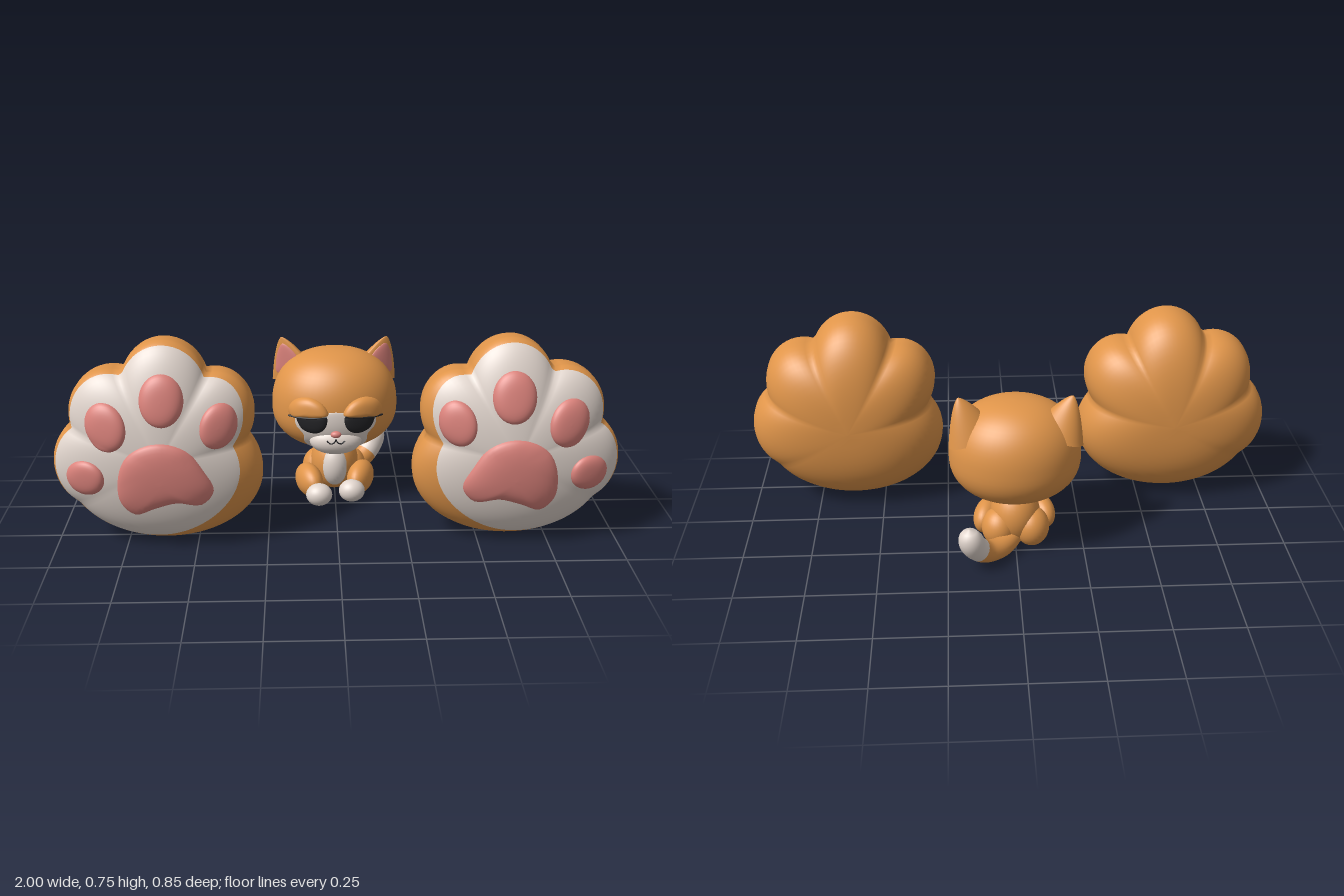
import * as THREE from 'three';

const mat = (name, color) => Object.assign(new THREE.MeshStandardMaterial({ color }), { name });
const orange = mat('orange fur', 0xe0954a);
const white = mat('cream fur', 0xe2d6ce);
const pink = mat('pink skin', 0xdc837c);
const black = mat('black', 0x232326);
const TAU = Math.PI * 2;

function add(parent, name, geometry, material, pos = [0, 0, 0]) {
  const m = new THREE.Mesh(geometry, material);
  m.name = name;
  m.position.set(...pos);
  parent.add(m);
  return m;
}

// Closed rings of points fn(u, row); rows after `split` use the second material
function surface(fn, nu, rows, split = rows) {
  const p = [], idx = [];
  for (let j = 0; j <= rows; j++) for (let i = 0; i < nu; i++) p.push(...fn(i / nu, j));
  for (let j = 0; j < rows; j++) for (let i = 0; i < nu; i++) {
    const a = j * nu + i, b = j * nu + (i + 1) % nu;
    idx.push(a, b, b + nu, a, b + nu, a + nu);
  }
  const g = new THREE.BufferGeometry();
  g.setAttribute('position', new THREE.Float32BufferAttribute(p, 3));
  g.setIndex(idx);
  if (split < rows) {
    g.addGroup(0, split * nu * 6, 0);
    g.addGroup(split * nu * 6, (rows - split) * nu * 6, 1);
  }
  g.computeVertexNormals();
  return g;
}

// Soft cushion with a counter-clockwise outline, laid over the height rule zFn
function cushion(points, zFn, height) {
  const curve = new THREE.CatmullRomCurve3(points.map(([x, y]) => new THREE.Vector3(x, y, 0)), true);
  const c = points.reduce((s, [x, y]) => [s[0] + x / points.length, s[1] + y / points.length], [0, 0]);
  const rows = 10;
  return surface((u, j) => {
    const q = curve.getPoint(u), s = Math.cos(j / rows * Math.PI / 2);
    const x = c[0] + (q.x - c[0]) * s, y = c[1] + (q.y - c[1]) * s;
    return [x, y, zFn(x, y) + height * Math.sqrt(1 - s ** 4)];
  }, 48, rows);
}

function oval(cx, cy, rx, ry, tilt = 0) {
  return Array.from({ length: 12 }, (_, i) => {
    const a = i / 12 * TAU, x = rx * Math.cos(a), y = ry * Math.sin(a);
    return [cx + x * Math.cos(tilt) - y * Math.sin(tilt), cy + x * Math.sin(tilt) + y * Math.cos(tilt)];
  });
}

function ball(parent, name, material, pos, radii, turn = 0) {
  const m = add(parent, name, new THREE.SphereGeometry(1, 32, 20), material, pos);
  m.scale.set(...radii);
  m.rotation.y = turn;
  return m;
}

// Big paw: palm and four toes as ellipses [x, y, rx, ry]
const PX = 0.62, PY = 0.34;
const LOBES = [[0.61, 0.26, 0.345, 0.25], [0.42, 0.48, 0.13, 0.15], [0.6, 0.57, 0.155, 0.175],
  [0.79, 0.48, 0.145, 0.163], [0.87, 0.3, 0.13, 0.16]];

function pawRadius(a) {
  let best = 0;
  for (const [x, y, rx, ry] of LOBES) {
    const dx = Math.cos(a) / rx, dy = Math.sin(a) / ry, ox = (PX - x) / rx, oy = (PY - y) / ry;
    const A = dx * dx + dy * dy, B = dx * ox + dy * oy, D = B * B - A * (ox * ox + oy * oy - 1);
    if (D >= 0) best = Math.max(best, (-B + Math.sqrt(D)) / A);
  }
  return best;
}
const frontDepth = s => 0.27 + 0.14 * Math.sqrt(Math.max(0, 1 - s * s));
const pawZ = (x, y) => frontDepth(Math.hypot(x - PX, y - PY) / pawRadius(Math.atan2(y - PY, x - PX))) - 0.004;

function paw() {
  const g = new THREE.Group();
  const back = 16, lip = 22, rows = 38;
  add(g, 'pawBody', surface((u, j) => {
    const a = u * TAU, R = pawRadius(a);
    // the fur edge comes further forward on the inner lower side
    const edge = Math.acos(0.97 - 0.2 * Math.max(0, Math.cos(a - 3.58)) ** 2);
    let s, z;
    if (j <= back) {
      const t = j / back * Math.PI / 2;
      s = Math.sin(t) ** (2 / 2.6);
      z = 0.27 - 0.23 * Math.max(0, Math.cos(t)) ** (2 / 2.6);
    } else {
      const t = j <= lip ? edge * (j - back) / (lip - back)
        : edge + (Math.PI / 2 - edge) * (j - lip) / (rows - lip);
      s = Math.cos(t);
      z = frontDepth(s);
    }
    return [PX + R * s * Math.cos(a), PY + R * s * Math.sin(a), z];
  }, 120, rows, lip), [orange, white]);
  [[0.41, 0.463, 0.064, 0.082, 0.2], [0.6, 0.56, 0.076, 0.09, 0], [0.795, 0.465, 0.072, 0.086, -0.2],
    [0.877, 0.275, 0.07, 0.066, -0.4]].forEach(o => add(g, 'toePad', cushion(oval(...o), pawZ, 0.024), pink));
  const palm = [[0.6, 0.415], [0.52, 0.385], [0.465, 0.31], [0.432, 0.23], [0.475, 0.175], [0.56, 0.187],
    [0.64, 0.165], [0.71, 0.138], [0.757, 0.185], [0.763, 0.27], [0.735, 0.355], [0.68, 0.4]];
  add(g, 'palmPad', cushion(palm, pawZ, 0.028), pink);
  return g;
}

// Head: rounded form, wider at the cheeks
function headZ(x, y, k = 1) {
  const dy = Math.min(1, Math.abs(y - 0.36) / (k * (y > 0.36 ? 0.215 : 0.17)));
  const r = (1 - dy ** 2.3) ** (1 / 2.3);
  return -0.155 + 0.205 * k * Math.sqrt(Math.max(0, r * r - (x / 0.24 / k) ** 2));
}

function head() {
  const g = new THREE.Group();
  g.name = 'head';
  add(g, 'skull', surface((u, j) => {
    const t = -Math.PI / 2 + j / 32 * Math.PI, d = Math.sin(t);
    const e = Math.sign(d) * Math.abs(d) ** (2 / 2.3), r = Math.max(0, Math.cos(t)) ** (2 / 2.3);
    return [0.24 * r * Math.sin(u * TAU), 0.36 + (e > 0 ? 0.215 : 0.17) * e, -0.155 + 0.205 * r * Math.cos(u * TAU)];
  }, 56, 32), orange);
  const half = [[0.06, 0.207], [0.1, 0.225], [0.118, 0.255], [0.12, 0.29], [0.148, 0.325], [0.15, 0.36], [0.12, 0.385], [0.05, 0.385]];
  const mask = [[0, 0.203], ...half, [0, 0.39], ...half.map(([x, y]) => [-x, y]).reverse()];
  add(g, 'faceMask', cushion(mask, (x, y) => headZ(x, y, 1.012), 0.004), white);
  ball(g, 'muzzle', white, [0, 0.265, 0.008], [0.098, 0.054, 0.055]);
  ball(g, 'nose', pink, [0, 0.305, 0.057], [0.02, 0.013, 0.014]);
  for (const side of [1, -1]) {
    const h = new THREE.Group();
    h.name = side > 0 ? 'leftFace' : 'rightFace';
    h.scale.x = side;
    g.add(h);
    const eye = [[0.035, 0.375], [0.036, 0.335], [0.06, 0.308], [0.095, 0.303], [0.128, 0.318], [0.145, 0.35], [0.147, 0.375], [0.09, 0.385]];
    add(h, 'eye', cushion(eye, (x, y) => headZ(x, y, 1.018), 0.014), black);
    const lid = [[0.028, 0.38], [0.06, 0.37], [0.12, 0.366], [0.17, 0.362], [0.175, 0.39], [0.15, 0.425], [0.1, 0.44], [0.05, 0.42]];
    add(h, 'eyelid', cushion(lid, (x, y) => headZ(x, y, 1.005), 0.028), orange);
    const lash = [[0.035, 0.376], [0.09, 0.368], [0.14, 0.364], [0.175, 0.364]].map(([x, y]) => new THREE.Vector3(x, y, headZ(x, y, 1.02) + 0.012));
    add(h, 'lashLine', new THREE.TubeGeometry(new THREE.CatmullRomCurve3(lash), 16, 0.004, 6), black);
    const mouth = [[0, 0.289], [0.006, 0.275], [0.02, 0.27], [0.034, 0.28]].map(([x, y]) => new THREE.Vector3(x, y, 0.063 - x * x * 4));
    add(h, 'mouth', new THREE.TubeGeometry(new THREE.CatmullRomCurve3(mouth), 16, 0.0025, 6), black);

    // Ear with a flattened front and a pink lining
    const ear = new THREE.Group();
    ear.name = 'ear';
    ear.position.set(0.155, 0.455, -0.2);
    ear.rotation.set(0, 0.4, -0.3, 'ZYX');
    h.add(ear);
    const width = v => 0.095 * Math.max(0, 1 - v) ** 0.7;
    add(ear, 'earShell', surface((u, j) => {
      const v = Math.sin(j / 16 * Math.PI / 2), w = width(v), c = Math.cos(u * TAU);
      return [w * Math.sin(u * TAU), 0.16 * v, w * c * (c > 0 ? 0.25 : 0.75)];
    }, 32, 16), orange);
    const earZ = (x, y) => 0.25 * Math.sqrt(Math.max(0, width(y / 0.16) ** 2 - x * x)) + 0.001;
    add(ear, 'earLining', cushion([[-0.055, 0.03], [0, 0.015], [0.06, 0.03], [0.052, 0.065], [0.032, 0.105], [0, 0.135], [-0.03, 0.105], [-0.048, 0.065]], earZ, 0.004), pink);
  }
  return g;
}

function body() {
  const g = new THREE.Group();
  g.name = 'body';
  ball(g, 'torso', orange, [0, 0.115, -0.165], [0.092, 0.115, 0.097]);
  ball(g, 'chest', white, [0, 0.115, -0.113], [0.056, 0.085, 0.055]);
  for (const s of [1, -1]) {
    const z = s > 0 ? 0 : 0.035;
    ball(g, 'haunch', orange, [s * 0.06, 0.075, -0.2], [0.065, 0.075, 0.07]);
    ball(g, 'leg', orange, [s * 0.1, 0.067, -0.1 + z * 0.7], [0.048, 0.063, 0.088], -s * 0.35);
    ball(g, 'foot', white, [s * 0.063, 0.047, -0.012 + z], [0.05, 0.043, 0.044]);
  }
  // Tail thickening to a pale rounded tip
  const path = new THREE.CatmullRomCurve3([[0, 0.045, -0.2], [0.05, 0.038, -0.275], [0.11, 0.05, -0.325],
    [0.15, 0.09, -0.36], [0.168, 0.135, -0.378], [0.172, 0.18, -0.382]].map(p => new THREE.Vector3(...p)));
  const rows = 32, frames = path.computeFrenetFrames(rows);
  add(g, 'tail', surface((u, j) => {
    const t = j / rows, r = (0.034 + 0.015 * t) * Math.sqrt(Math.max(0, 1 - Math.max(0, (t - 0.8) / 0.2) ** 2));
    const p = path.getPointAt(t);
    p.addScaledVector(frames.normals[j], r * Math.cos(u * TAU)).addScaledVector(frames.binormals[j], r * Math.sin(u * TAU));
    return p.toArray();
  }, 24, rows, 20), [orange, white]);
  return g;
}

export function createModel() {
  const model = new THREE.Group();
  model.name = 'kittenWithPaws';
  model.add(head(), body());
  for (const side of [1, -1]) {
    const p = paw();
    p.name = side > 0 ? 'leftPaw' : 'rightPaw';
    p.scale.x = side;
    model.add(p);
  }
  return model;
}
